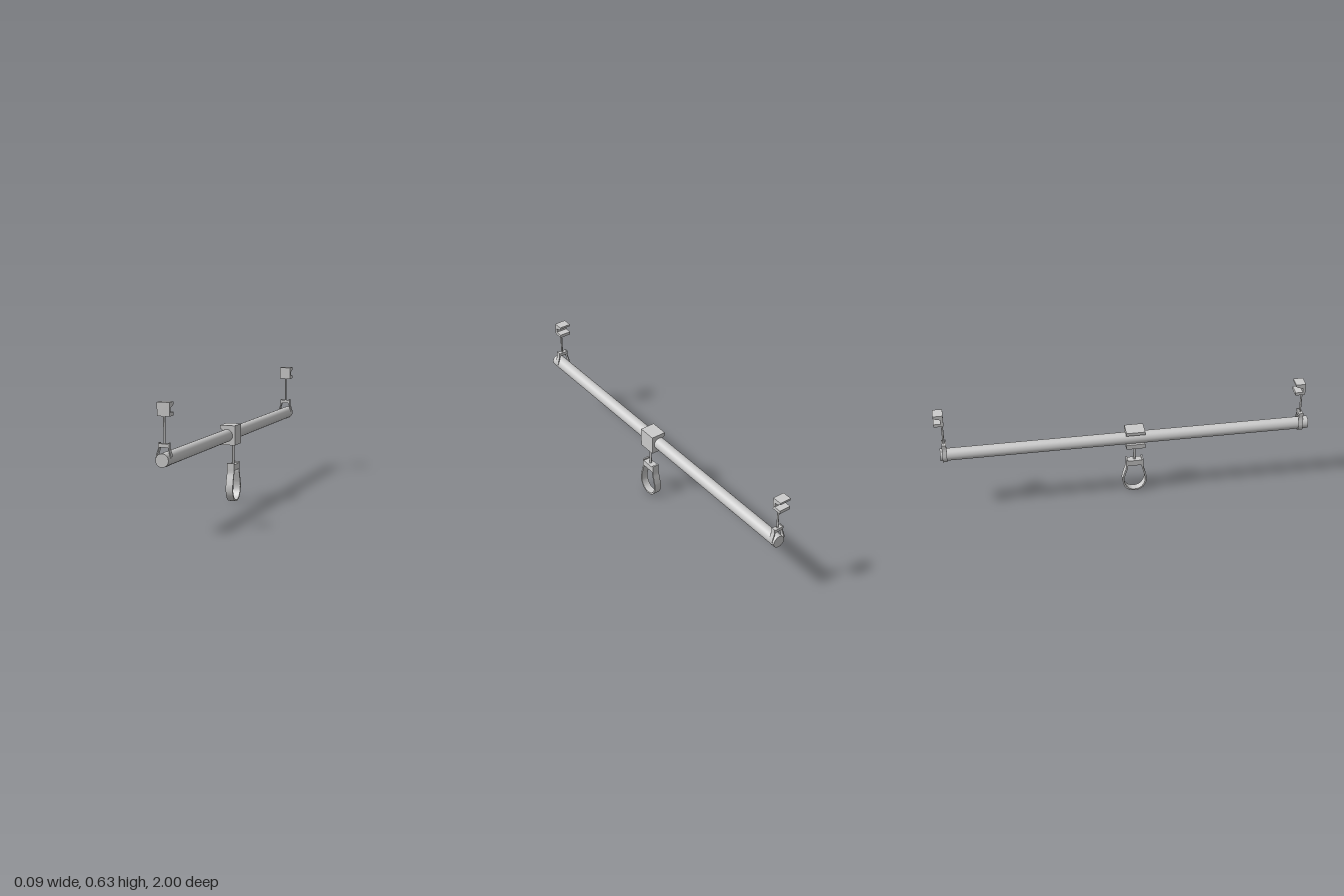
import * as THREE from 'three';
import { toCreasedNormals } from 'three/addons/utils/BufferGeometryUtils.js';

const material = new THREE.MeshStandardMaterial({ color: 0xcccccc });

function add(parent, name, geometry, x = 0, y = 0, z = 0) {
  const mesh = new THREE.Mesh(geometry, material);
  mesh.name = name;
  mesh.position.set(x, y, z);
  parent.add(mesh);
  return mesh;
}

function extrude(points, width) {
  const geometry = new THREE.ExtrudeGeometry(new THREE.Shape(points), { depth: width, bevelEnabled: false });
  geometry.translate(0, 0, -width / 2);
  return toCreasedNormals(geometry, 0.5);
}

// C-shaped clip: closed face at x = 0, slot open towards +x, base at y = 0
function clipGeometry(s) {
  const profile = [
    [0, 0], [0.052, 0], [0.052, 0.017], [0.013, 0.017],
    [0.013, 0.041], [0.038, 0.046], [0.052, 0.055], [0.052, 0.066], [0, 0.066],
  ].map(([x, y]) => new THREE.Vector2(x * s, y * s));
  return extrude(profile, 0.064 * s);
}

// Pear-shaped strap with a bar across its neck, lowest point at y = 0
function makeStrap(name, sx, sy, width, thickness) {
  const group = new THREE.Group();
  group.name = name;
  const half = [[0.025, 0.115], [0.025, 0.098], [0.0255, 0.085], [0.032, 0.064],
    [0.0365, 0.045], [0.034, 0.026], [0.021, 0.0085]];
  const path = [...half, [0, 0.0025], ...half.map(([x, y]) => [-x, y]).reverse()];
  const curve = new THREE.SplineCurve(path.map(([x, y]) => new THREE.Vector2(x * sx, y * sy)));
  const outer = [], inner = [];
  const steps = 56;
  for (let i = 0; i <= steps; i++) {
    const p = curve.getPoint(i / steps);
    const t = curve.getTangent(i / steps);
    const n = new THREE.Vector2(-t.y, t.x).multiplyScalar(thickness / 2);
    outer.push(p.clone().add(n));
    inner.push(p.clone().sub(n));
  }
  add(group, 'strapBand', extrude([...outer, ...inner.reverse()], width));
  add(group, 'strapBar', new THREE.BoxGeometry(0.049 * sx, 0.018 * sy, width), 0, 0.102 * sy, 0);
  return group;
}

function addRod(parent, name, radius, x, y0, y1, z) {
  add(parent, name, new THREE.CylinderGeometry(radius, radius, y1 - y0, 16), x, (y0 + y1) / 2, z);
}

export function createModel() {
  const model = new THREE.Group();
  model.name = 'hangingRail';

  // Long horizontal tube
  const tube = new THREE.CylinderGeometry(0.033, 0.033, 1.98, 40);
  tube.rotateX(Math.PI / 2);
  add(model, 'rail', tube, -0.001, 0.358, 0.01);

  // Hangers at both ends: strap round the tube, rod and clip
  for (const [side, z] of [['front', 0.956], ['back', -0.957]]) {
    const hanger = new THREE.Group();
    hanger.name = side + 'Hanger';
    hanger.position.z = z;
    model.add(hanger);
    const strap = makeStrap('hangerStrap', 1, 1, 0.024, 0.005);
    strap.position.set(-0.006, 0.322, 0);
    hanger.add(strap);
    addRod(hanger, 'hangerRod', 0.0052, -0.005, 0.43, 0.565, 0);
    const clip = add(hanger, 'hangerClip', clipGeometry(1), -0.007, 0.562, 0.009);
    clip.rotation.y = Math.PI / 2;
  }

  // Middle clip on the tube with the ring hanging below
  const holder = new THREE.Group();
  holder.name = 'middleHolder';
  model.add(holder);
  const clip = add(holder, 'middleClip', clipGeometry(1.585), 0.045, 0.307, 0.055);
  clip.rotation.y = Math.PI;
  addRod(holder, 'middleRod', 0.006, 0.019, 0.2, 0.315, 0.056);
  const ring = makeStrap('hangingRing', 1.69, 1.82, 0.039, 0.009);
  ring.position.set(0.0185, 0, 0.056);
  ring.rotation.y = Math.PI / 2;
  holder.add(ring);

  return model;
}
